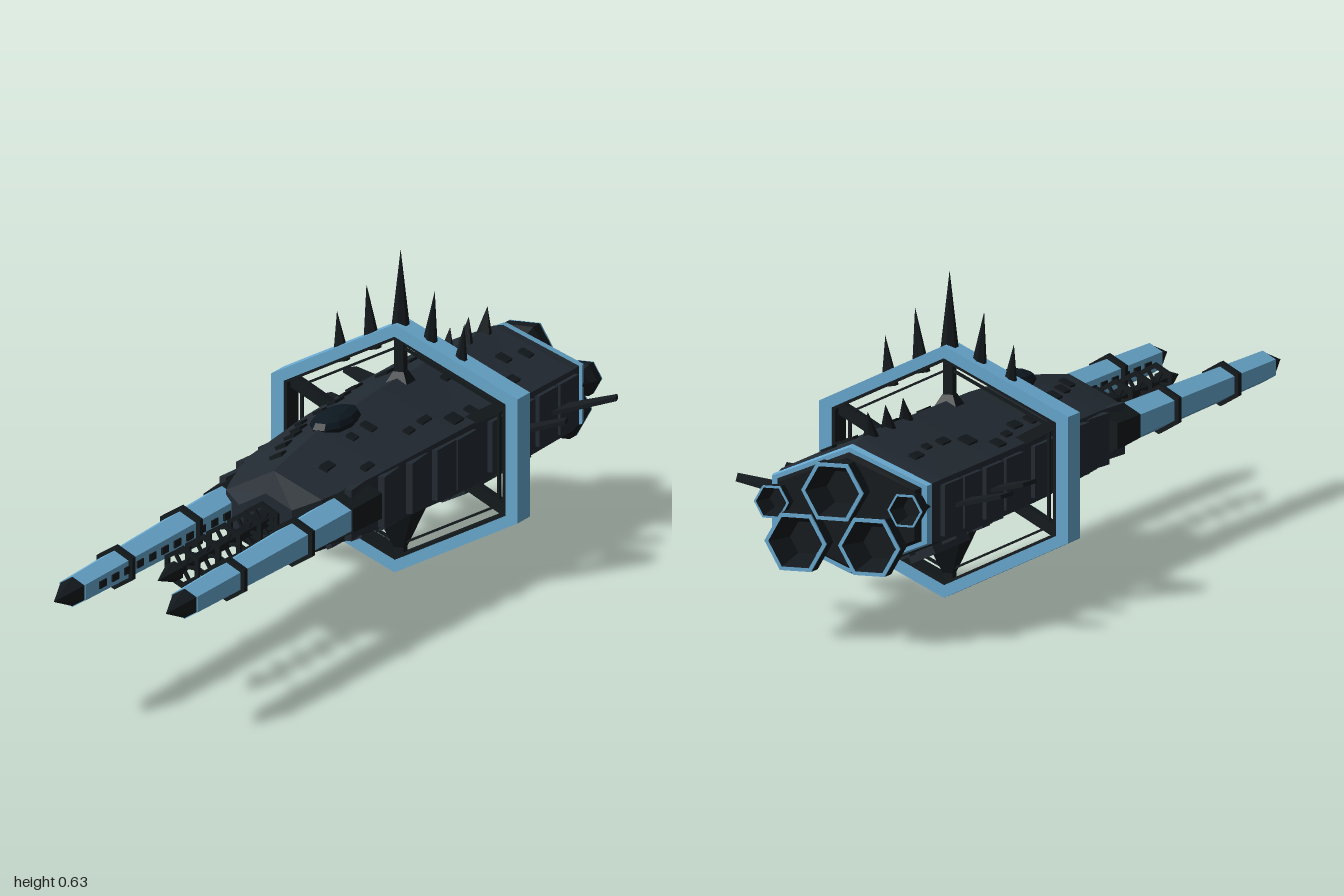
import * as THREE from 'three';

const mat = (color, side = THREE.FrontSide) => new THREE.MeshStandardMaterial({ color, flatShading: true, side });
const HULL = mat(0x222a32), DARK = mat(0x12181c), BLUE = mat(0x6aabd2), GLASS = mat(0x0d1820);
const MID = 0.247, RING_Z = -0.4;

// Hull stations: z, half width, top, bottom
const STATIONS = [
  [0.25, 0.055, 0.3, 0.2], [0.21, 0.1, 0.335, 0.158], [0.1, 0.128, 0.352, 0.138], [0, 0.142, 0.366, 0.127],
  [-0.3, 0.158, 0.38, 0.113], [-0.6, 0.166, 0.381, 0.11], [-0.85, 0.166, 0.377, 0.115], [-0.9, 0.157, 0.366, 0.125],
];

// Hull size at any z
function station(z) {
  let i = 0;
  while (i < STATIONS.length - 2 && STATIONS[i + 1][0] > z) i++;
  const a = STATIONS[i], b = STATIONS[i + 1], t = (a[0] - z) / (a[0] - b[0]);
  return a.map((v, k) => v + (b[k] - v) * t);
}

// Six-sided hull section
function section([z, w, top, bot]) {
  const up = MID + (top - MID) * 0.46, lo = MID - (MID - bot) * 0.46;
  return [[0, top, z], [-w, up, z], [-w, lo, z], [0, bot, z], [w, lo, z], [w, up, z]];
}

// Closed solid through sections that run from front to back
function loft(sections) {
  const pos = [], tri = (a, b, c) => pos.push(...a, ...b, ...c);
  const n = sections[0].length, last = sections[sections.length - 1];
  for (let k = 0; k < sections.length - 1; k++)
    for (let i = 0; i < n; i++) {
      const j = (i + 1) % n, s = sections[k], t = sections[k + 1];
      tri(s[i], t[i], t[j]);
      tri(s[i], t[j], s[j]);
    }
  for (let i = 1; i < n - 1; i++) {
    tri(sections[0][0], sections[0][i], sections[0][i + 1]);
    tri(last[0], last[i + 1], last[i]);
  }
  const g = new THREE.BufferGeometry();
  g.setAttribute('position', new THREE.Float32BufferAttribute(pos, 3));
  g.computeVertexNormals();
  return g;
}

// Six-sided rod along z, from zBack to zFront
const rod = (rFront, rBack, zBack, zFront) =>
  new THREE.CylinderGeometry(rFront, rBack, zFront - zBack, 6).rotateX(Math.PI / 2).translate(0, 0, (zFront + zBack) / 2);

// Flat hexagonal frame around z = 0
function hexFrame(outer, inner, depth, rx, ry) {
  const pts = (s) => [...Array(6).keys()].map((i) => {
    const a = Math.PI / 2 + i * Math.PI / 3;
    return new THREE.Vector2(Math.cos(a) * rx * s, Math.sin(a) * ry * s);
  });
  const shape = new THREE.Shape(pts(outer));
  shape.holes.push(new THREE.Path(pts(inner).reverse()));
  return new THREE.ExtrudeGeometry(shape, { depth, bevelEnabled: false }).translate(0, 0, -depth / 2);
}

export function createModel() {
  const model = new THREE.Group();
  const add = (name, geo, material, x = 0, y = 0, z = 0, parent = model) => {
    const m = new THREE.Mesh(geo, material);
    m.name = name;
    m.position.set(x, y, z);
    parent.add(m);
    return m;
  };

  // Hull, blue stern collar and engine plate
  add('hull', loft(STATIONS.map(section)), HULL);
  add('sternCollar', loft([section([-0.895, 0.164, 0.372, 0.12]), section([-0.912, 0.16, 0.368, 0.124])]), BLUE);
  add('enginePlate', loft([section([-0.91, 0.15, 0.36, 0.132]), section([-0.925, 0.14, 0.35, 0.14])]), DARK);

  // Canopy
  add('canopy', new THREE.SphereGeometry(1, 10, 6).scale(0.04, 0.022, 0.085), GLASS, 0, 0.368, -0.085).rotation.x = 0.04;

  // Side armour plates
  for (const s of [-1, 1])
    for (const z of [0.11, -0.01, -0.13, -0.245, -0.335, -0.49, -0.6, -0.71, -0.81])
      add('sidePlate', new THREE.BoxGeometry(0.014, 0.1, 0.09), HULL, s * (station(z)[1] + 0.002), MID, z).rotation.y = z > -0.2 ? s * 0.08 : 0;

  // Small plates scattered over the sloping faces
  let seed = 7;
  const rnd = () => (seed = (seed * 16807) % 2147483647) / 2147483647;
  for (const s of [-1, 1])
    for (const up of [1, -1])
      for (let i = 0; i < 13; i++) {
        const z = 0.1 - i * 0.075, [, w, top, bot] = station(z), f = 0.3 + rnd() * 0.6;
        const peak = up > 0 ? top : bot;
        const y = peak + (MID - peak) * 0.54 * f;
        const m = add('hullPlate', new THREE.BoxGeometry(0.012 + rnd() * 0.016, 0.01, 0.02 + rnd() * 0.025), up > 0 ? DARK : HULL, s * w * f, y, z);
        m.rotation.z = -s * up * Math.atan2(Math.abs(MID - peak) * 0.54, w);
      }

  // Belly pods
  for (const s of [-1, 1])
    add('bellyPod', new THREE.BoxGeometry(0.055, 0.03, 0.18), HULL, s * 0.057, 0.134, -0.6).rotation.z = s * 0.42;

  // Back spines
  for (const z of [-0.63, -0.72, -0.81])
    add('backSpine', new THREE.ConeGeometry(0.016, 0.055, 6), DARK, 0, 0.396, z).rotation.x = -0.3;

  // Swept side fins
  for (const [zf, zb, tipX, tipF, tipB] of [[-0.71, -0.8, 0.289, -0.78, -0.815], [-0.54, -0.62, 0.262, -0.595, -0.635]]) {
    const shape = new THREE.Shape([[0.15, zf], [tipX, tipF], [tipX - 0.012, tipB], [0.15, zb]].map(([x, z]) => new THREE.Vector2(x, -z)));
    const geo = new THREE.ExtrudeGeometry(shape, { depth: 0.008, bevelEnabled: false }).rotateX(Math.PI / 2).translate(-0.15, 0.004, 0).scale(1, 1, -1);
    // Turn the plan so its sweep runs toward the stern
    geo.scale(1, 1, -1).rotateX(Math.PI).rotateZ(0.24);
    for (const s of [0, 1]) {
      const g = new THREE.Group();
      g.name = s ? 'rightFin' : 'leftFin';
      add('fin', geo, mat(0x161c21, THREE.DoubleSide), 0.15, 0.243, 0, g);
      g.scale.x = s ? -1 : 1;
      model.add(g);
    }
  }

  // Flared engine nozzles with blue rims
  const nozzle = (x, y, r, zEnd) => {
    const g = new THREE.Group();
    g.name = 'engine';
    const profile = (pts) => new THREE.LatheGeometry(pts.map(([a, b]) => new THREE.Vector2(a, b)), 6, Math.PI / 6).rotateX(-Math.PI / 2);
    const len = -0.9 - zEnd, dark = mat(0x12181c, THREE.DoubleSide);
    add('nozzle', profile([[r * 0.7, 0], [r * 0.72, len * 0.4], [r, len * 0.65], [r, len * 0.96]]), dark, 0, 0, 0, g);
    add('nozzleThroat', profile([[r * 0.86, len], [r * 0.55, len * 0.4], [0, len * 0.4]]), dark, 0, 0, 0, g);
    add('nozzleRim', profile([[r, len * 0.95], [r, len], [r * 0.87, len]]), mat(0x6aabd2, THREE.DoubleSide), 0, 0, 0, g);
    g.position.set(x, y, -0.9);
    model.add(g);
  };
  nozzle(0, 0.295, 0.064, -1);
  for (const s of [-1, 1]) {
    nozzle(s * 0.076, 0.192, 0.064, -1);
    nozzle(s * 0.138, 0.262, 0.036, -0.97);
  }

  // Hexagonal ring with dark lining and thin inner wire
  const RX = 0.297, RY = 0.245;
  add('ring', hexFrame(1, 0.9, 0.06, RX, RY), BLUE, 0, 0.245, RING_Z);
  add('ringLining', hexFrame(0.902, 0.875, 0.056, RX, RY), DARK, 0, 0.245, RING_Z);
  add('ringWire', hexFrame(0.81, 0.79, 0.008, RX, RY), DARK, 0, 0.245, RING_Z);

  // Struts from the hull to the ring corners
  const strut = (name, ax, ay, bx, by, w, wTip = w) => {
    const geo = new THREE.CylinderGeometry(wTip * 0.707, w * 0.707, Math.hypot(bx - ax, by - ay), 4).rotateY(Math.PI / 4);
    add(name, geo, DARK, (ax + bx) / 2, (ay + by) / 2, RING_Z).rotation.z = -Math.atan2(bx - ax, by - ay);
  };
  strut('topStrut', 0, 0.37, 0, 0.462, 0.02);
  strut('topStrutFoot', 0, 0.365, 0, 0.392, 0.05, 0.022);
  strut('bottomStrut', 0, 0.12, 0, 0.03, 0.02);
  strut('bottomStrutFoot', 0, 0.13, 0, 0.045, 0.085, 0.02);
  for (const s of [-1, 1])
    for (const v of [-1, 1]) strut('sideStrut', s * 0.14, 0.245 + v * 0.06, s * 0.227, 0.245 + v * 0.108, 0.022);

  // Crown of spikes on the ring
  for (const [x, base, tip, r] of [[0, 0.46, 0.632, 0.02], [0.062, 0.43, 0.556, 0.018], [0.122, 0.4, 0.497, 0.017]])
    for (const s of x ? [-1, 1] : [1])
      add('ringSpike', new THREE.ConeGeometry(r, tip - base, 6), DARK, s * x * 1.05, (base + tip) / 2, RING_Z).rotation.z = x ? -s * 0.1 : 0;

  // Twin long guns
  for (const s of [-1, 1]) {
    const gun = new THREE.Group();
    gun.name = s > 0 ? 'leftGun' : 'rightGun';
    gun.position.set(s * 0.117, MID, 0);
    model.add(gun);
    add('barrel', rod(0.031, 0.042, 0.16, 0.91), BLUE, 0, 0, 0, gun);
    add('breech', rod(0.045, 0.05, 0.06, 0.19), DARK, 0, 0, 0, gun);
    add('muzzleTip', rod(0, 0.029, 0.91, 1), DARK, 0, 0, 0, gun);
    for (const [z, r] of [[0.385, 0.048], [0.7, 0.043]]) add('barrelBand', rod(r, r, z - 0.008, z + 0.008), DARK, 0, 0, 0, gun);
    for (let i = 0; i < 11; i++) {
      const z = 0.25 + i * 0.058, r = 0.042 - 0.011 * (z - 0.16) / 0.75;
      add('barrelSlot', new THREE.BoxGeometry(0.006, 0.014, 0.03), DARK, -s * r * 0.866, 0, z, gun);
    }
  }

  // Central lance with open hexagonal coils
  const lance = new THREE.Group();
  lance.name = 'lance';
  lance.position.y = MID;
  model.add(lance);
  add('lanceRod', rod(0.011, 0.016, 0.2, 0.68), DARK, 0, 0, 0, lance);
  add('lanceCollar', rod(0.025, 0.032, 0.23, 0.265), DARK, 0, 0, 0, lance);
  add('lanceTip', rod(0, 0.021, 0.69, 0.77), DARK, 0, 0, 0, lance);
  add('lanceTipBase', rod(0.021, 0.012, 0.67, 0.69), DARK, 0, 0, 0, lance);
  for (const z of [0.27, 0.35, 0.45, 0.55, 0.65]) {
    add('lanceCoil', hexFrame(1, 0.76, 0.01, 0.041, 0.041), DARK, 0, 0, z, lance);
    for (let i = 0; i < 3; i++)
      add('coilSpoke', new THREE.BoxGeometry(0.064, 0.006, 0.006), DARK, 0, 0, z, lance).rotation.z = i * Math.PI / 3;
  }

  model.position.x = -0.003;
  return model;
}
